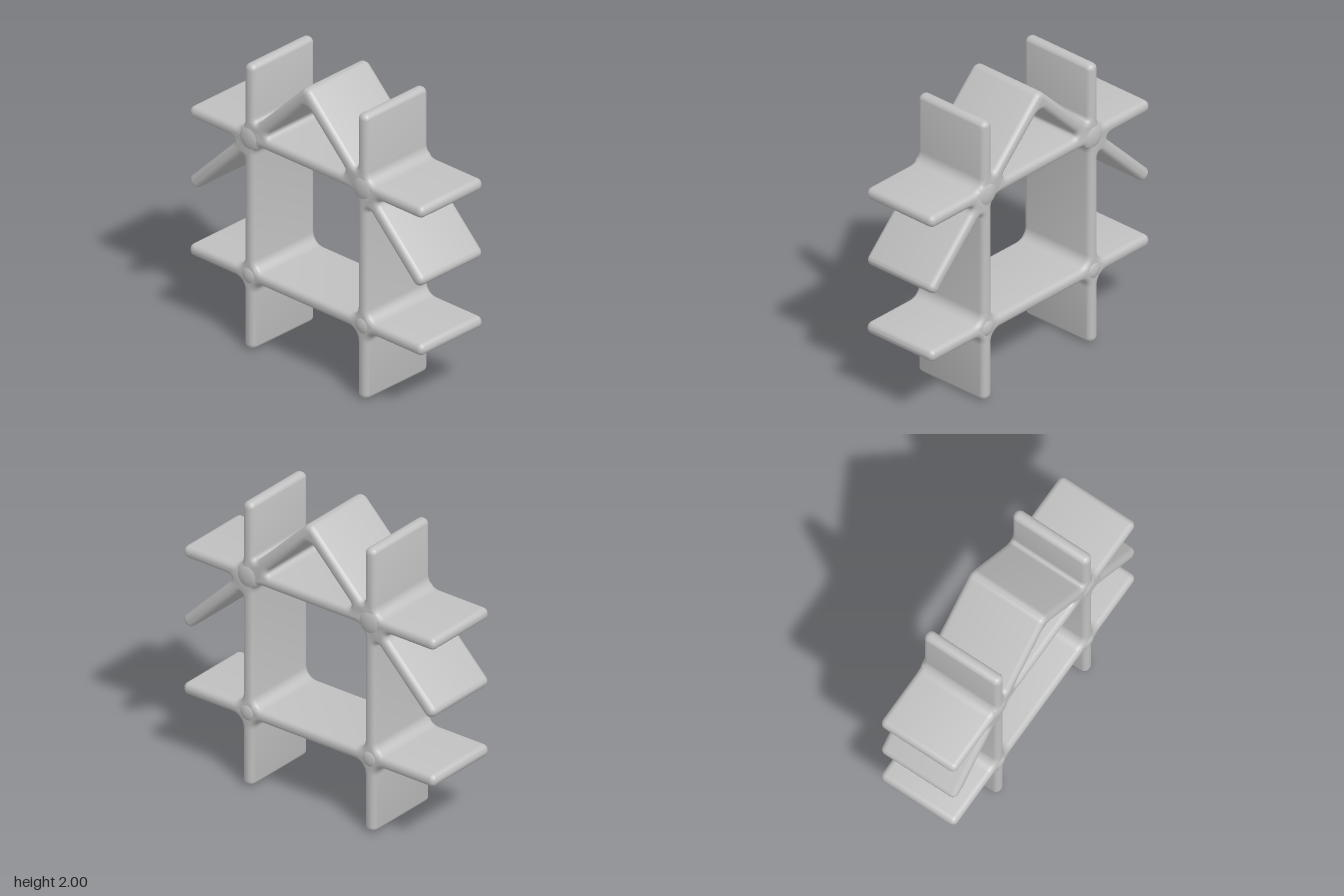
import * as THREE from 'three';
import { toCreasedNormals } from 'three/addons/utils/BufferGeometryUtils.js';

const DEPTH = 0.565; // front to back
const BEVEL = 0.036; // soft edge radius

// Traces a closed path through [x, y, trim] corners, rounding each one
function roundedPath(path, corners) {
  const n = corners.length;
  const K = 0.552;
  corners.forEach(([x, y, trim], i) => {
    const p = new THREE.Vector2(x, y);
    const [px, py] = corners[(i + n - 1) % n];
    const [nx, ny] = corners[(i + 1) % n];
    const toPrev = new THREE.Vector2(px, py).sub(p).normalize();
    const toNext = new THREE.Vector2(nx, ny).sub(p).normalize();
    const a = p.clone().addScaledVector(toPrev, trim);
    const b = p.clone().addScaledVector(toNext, trim);
    const c1 = a.clone().lerp(p, K);
    const c2 = b.clone().lerp(p, K);
    if (i === 0) path.moveTo(a.x, a.y);
    else path.lineTo(a.x, a.y);
    path.bezierCurveTo(c1.x, c1.y, c2.x, c2.y, b.x, b.y);
  });
  path.closePath();
  return path;
}

const mirrored = (corners) => corners.map(([x, y, t]) => [-x, y, t]).reverse();

export function createModel() {
  const group = new THREE.Group();
  group.name = 'houseFrame';
  const grey = new THREE.MeshStandardMaterial({ color: 0xc0c0c0 });
  grey.name = 'grey';

  // Panel edges: posts, beams and 45 degree roof slabs
  const xIn = 0.443, xOut = 0.527;
  const lowBot = 0.477, lowTop = 0.561, upBot = 1.443, upTop = 1.527;
  const roofOut = 2.022, roofIn = 1.898;
  const tip = 0.04, fillet = 0.075;

  // Right half of the silhouette, from beside the apex down to the foot
  const half = [
    [xIn, roofOut - xIn, 0.06],
    [xIn, 2, tip], [xOut, 2, tip],
    [xOut, upTop, fillet],
    [1, upTop, tip], [1, upBot, tip],
    [roofOut - upBot, upBot, 0.08],
    [1.014, roofOut - 1.014, tip], [0.952, roofIn - 0.952, tip],
    [xOut, roofIn - xOut, 0.06],
    [xOut, lowTop, fillet],
    [1, lowTop, tip], [1, lowBot, tip],
    [xOut, lowBot, fillet],
    [xOut, 0, tip], [xIn, 0, tip],
    [xIn, lowBot, fillet],
  ];
  // The outline runs counterclockwise, the openings clockwise
  const outline = [[0, roofOut, 0.053], ...half, ...mirrored(half)].reverse();
  const shape = roundedPath(new THREE.Shape(), outline);

  // Square room and triangular attic openings
  const room = [[xIn, upBot, fillet], [xIn, lowTop, fillet]];
  shape.holes.push(roundedPath(new THREE.Path(), [...room, ...mirrored(room)]));
  const eave = [[roofIn - upTop, upTop, 0.08]];
  shape.holes.push(roundedPath(new THREE.Path(), [[0, roofIn, 0.06], ...eave, ...mirrored(eave)]));

  const frameGeometry = new THREE.ExtrudeGeometry(shape, {
    depth: DEPTH - 2 * BEVEL,
    curveSegments: 7,
    bevelEnabled: true,
    bevelThickness: BEVEL,
    bevelSize: BEVEL,
    bevelOffset: -BEVEL,
    bevelSegments: 4,
  });
  frameGeometry.translate(0, 0, BEVEL - DEPTH / 2);
  const frame = new THREE.Mesh(toCreasedNormals(frameGeometry, 0.7), grey);
  frame.name = 'crossedPanels';
  group.add(frame);

  // Slight swelling where the panels cross, on both faces
  const swell = new THREE.SphereGeometry(1, 20, 12);
  for (const side of [1, -1]) {
    for (const face of [1, -1]) {
      for (const [name, y, r] of [['upperJoint', 1.483, 0.09], ['lowerJoint', 0.519, 0.065]]) {
        const joint = new THREE.Mesh(swell, grey);
        joint.name = name;
        joint.position.set(side * 0.485, y, face * 0.262);
        joint.scale.set(r, r, 0.033);
        group.add(joint);
      }
    }
  }
  return group;
}
